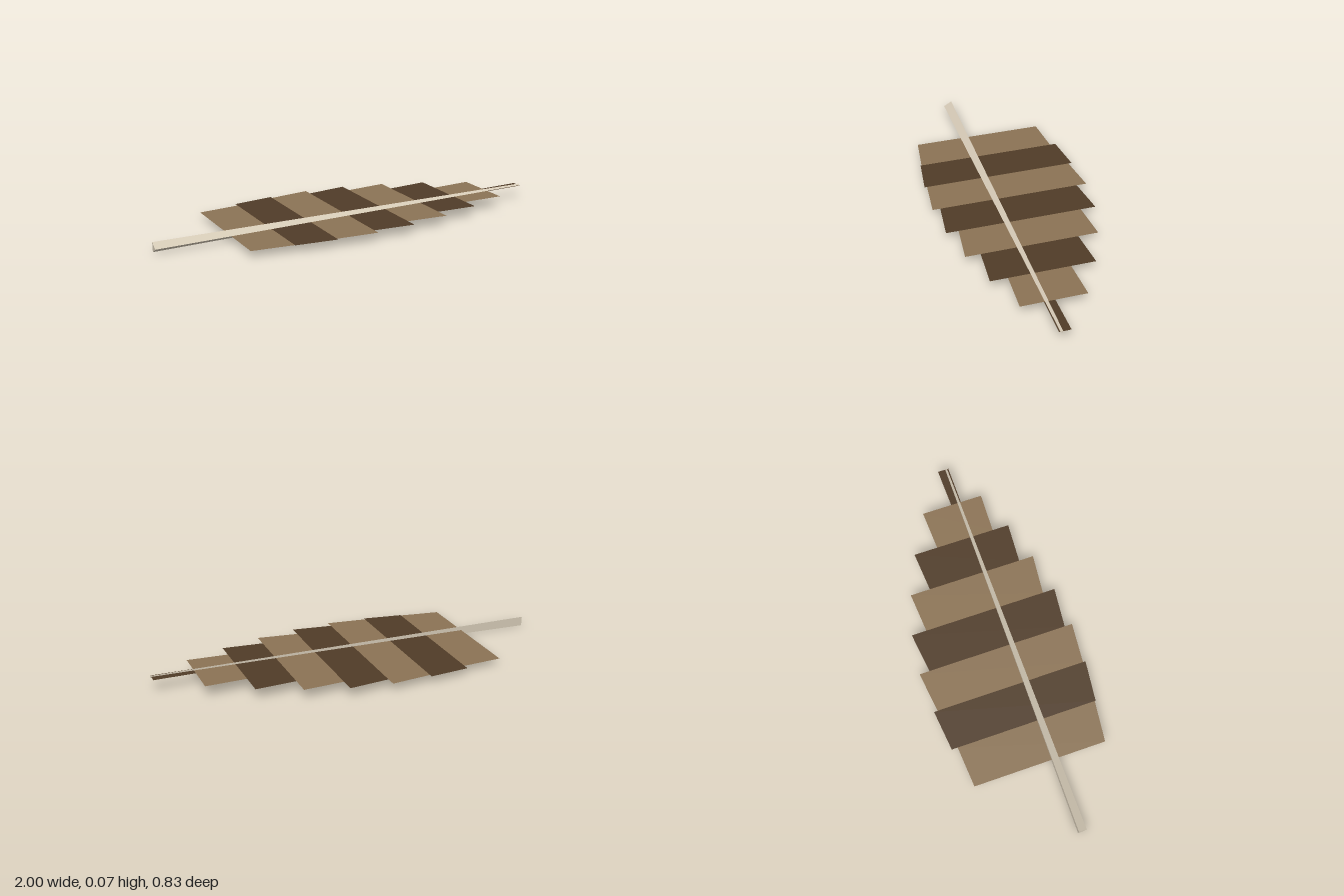
import * as THREE from 'three';

const paleBrown = new THREE.MeshStandardMaterial({ color: 0x8b7355, side: THREE.DoubleSide, flatShading: true });
paleBrown.name = 'paleBrown';
const darkBrown = new THREE.MeshStandardMaterial({ color: 0x503c28, side: THREE.DoubleSide, flatShading: true });
darkBrown.name = 'darkBrown';
const quill = new THREE.MeshStandardMaterial({ color: 0xd4c9b5, flatShading: true });
quill.name = 'quill';

// Distance from the shaft per band: back start, back end, front start, front end
const bands = [
  [0.405, 0.420, 0.263, 0.288],
  [0.450, 0.472, 0.293, 0.318],
  [0.454, 0.479, 0.305, 0.324],
  [0.428, 0.453, 0.285, 0.306],
  [0.377, 0.392, 0.244, 0.265],
  [0.291, 0.306, 0.190, 0.203],
  [0.184, 0.193, 0.118, 0.125],
  [0.039, 0.043, 0.014, 0.014],
];
const bandStart = -0.641;
const bandLength = 0.206;

// One flat vane band crossing the shaft, lying in the local xz plane
function vaneBand([b0, b1, f0, f1], x0, x1) {
  const shape = new THREE.Shape([
    new THREE.Vector2(x0, -f0),
    new THREE.Vector2(x1, -f1),
    new THREE.Vector2(x1, b1),
    new THREE.Vector2(x0, b0),
  ]);
  return new THREE.ShapeGeometry(shape).rotateX(-Math.PI / 2);
}

export function createModel() {
  const model = new THREE.Group();
  model.name = 'feather';

  // Feather frame: local x runs from the quill end to the tip
  const feather = new THREE.Group();
  feather.name = 'featherBody';
  feather.rotation.set(0, 0.149, 0.0215, 'YXZ');
  feather.position.set(0, 0.0465, 0.055);
  model.add(feather);

  // Tapering three-sided shaft
  const shaft = new THREE.Mesh(
    new THREE.CylinderGeometry(0.007, 0.028, 2.018, 3).rotateZ(-Math.PI / 2), quill);
  shaft.name = 'shaft';
  feather.add(shaft);

  // Alternating vane bands
  bands.forEach((widths, i) => {
    const x0 = bandStart + i * bandLength;
    const band = new THREE.Mesh(vaneBand(widths, x0, x0 + bandLength), i % 2 ? darkBrown : paleBrown);
    band.name = `vaneBand${i + 1}`;
    feather.add(band);
  });

  return model;
}
